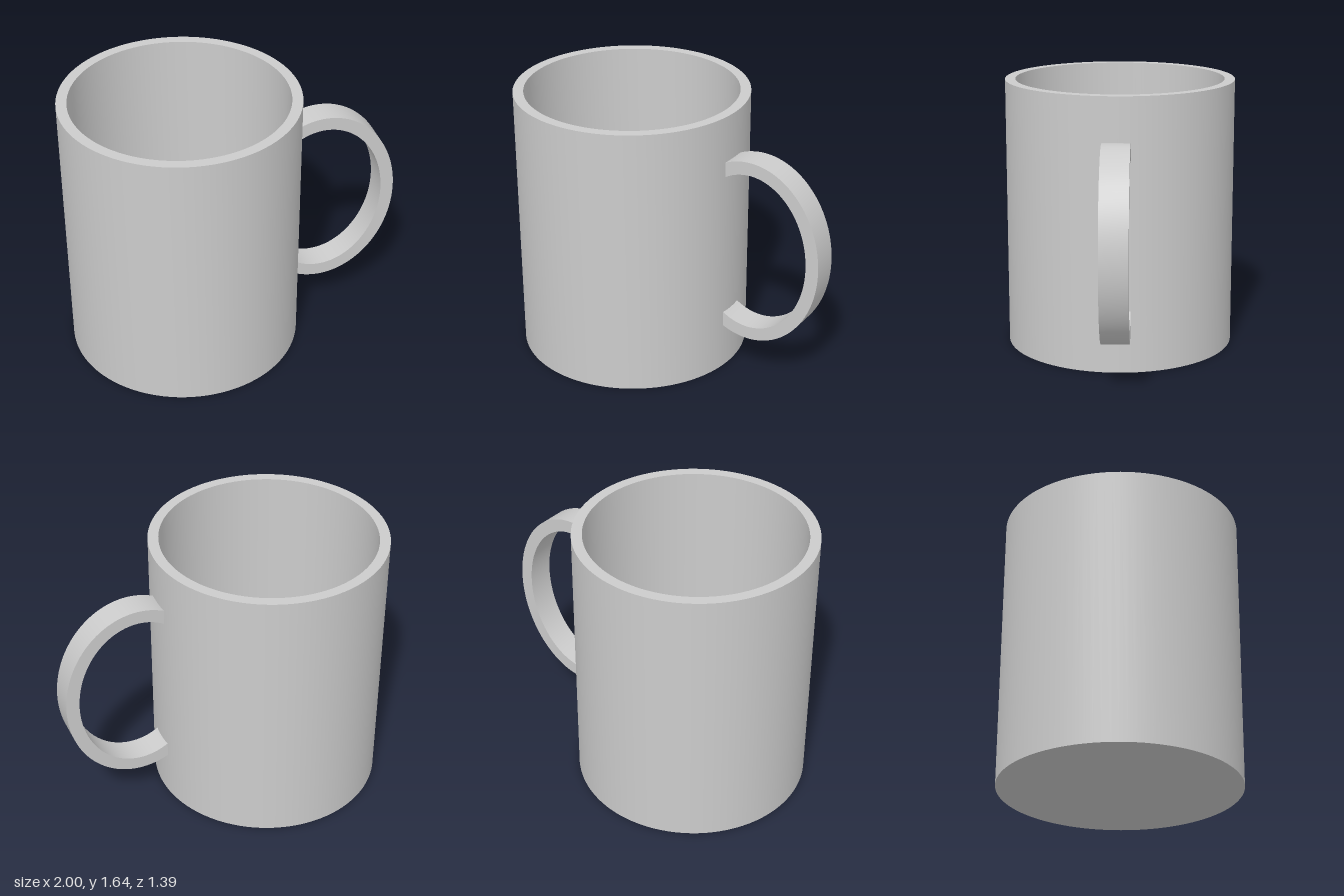
import * as THREE from 'three';
import { toCreasedNormals } from 'three/addons/utils/BufferGeometryUtils.js';

export function createModel() {
  const group = new THREE.Group();
  group.name = 'mug';
  const material = new THREE.MeshStandardMaterial({ color: 0xcccccc });

  const add = (name, geometry) => {
    const mesh = new THREE.Mesh(toCreasedNormals(geometry, 0.6), material);
    mesh.name = name;
    group.add(mesh);
    return mesh;
  };

  // Cup: outer wall, flat rim, inner wall and floor in one profile
  const outer = 0.695, inner = 0.633, height = 1.64, floor = 0.06;
  const profile = [
    [0, 0], [outer, 0], [outer, height], [inner, height], [inner, floor], [0, floor],
  ].map(([x, y]) => new THREE.Vector2(x, y));
  const cup = add('cup', new THREE.LatheGeometry(profile, 96));
  cup.position.x = -0.305;

  // Handle: flat elliptical band whose ends are buried in the cup wall
  const cx = 0.545, cy = 0.824, endX = 0.36, width = 0.164;
  const [rx, ry, thickness] = [0.455, 0.573, 0.08];
  const endAngle = (radius) => Math.acos((endX - cx) / radius);
  const a = endAngle(rx), b = endAngle(rx - thickness);
  const band = new THREE.Shape();
  band.absellipse(cx, cy, rx, ry, -a, a, false);
  band.absellipse(cx, cy, rx - thickness, ry - thickness, b, -b, true);
  band.closePath();
  const handle = add('handle', new THREE.ExtrudeGeometry(band, {
    depth: width, bevelEnabled: false, curveSegments: 32,
  }));
  handle.position.z = -width / 2;

  return group;
}
